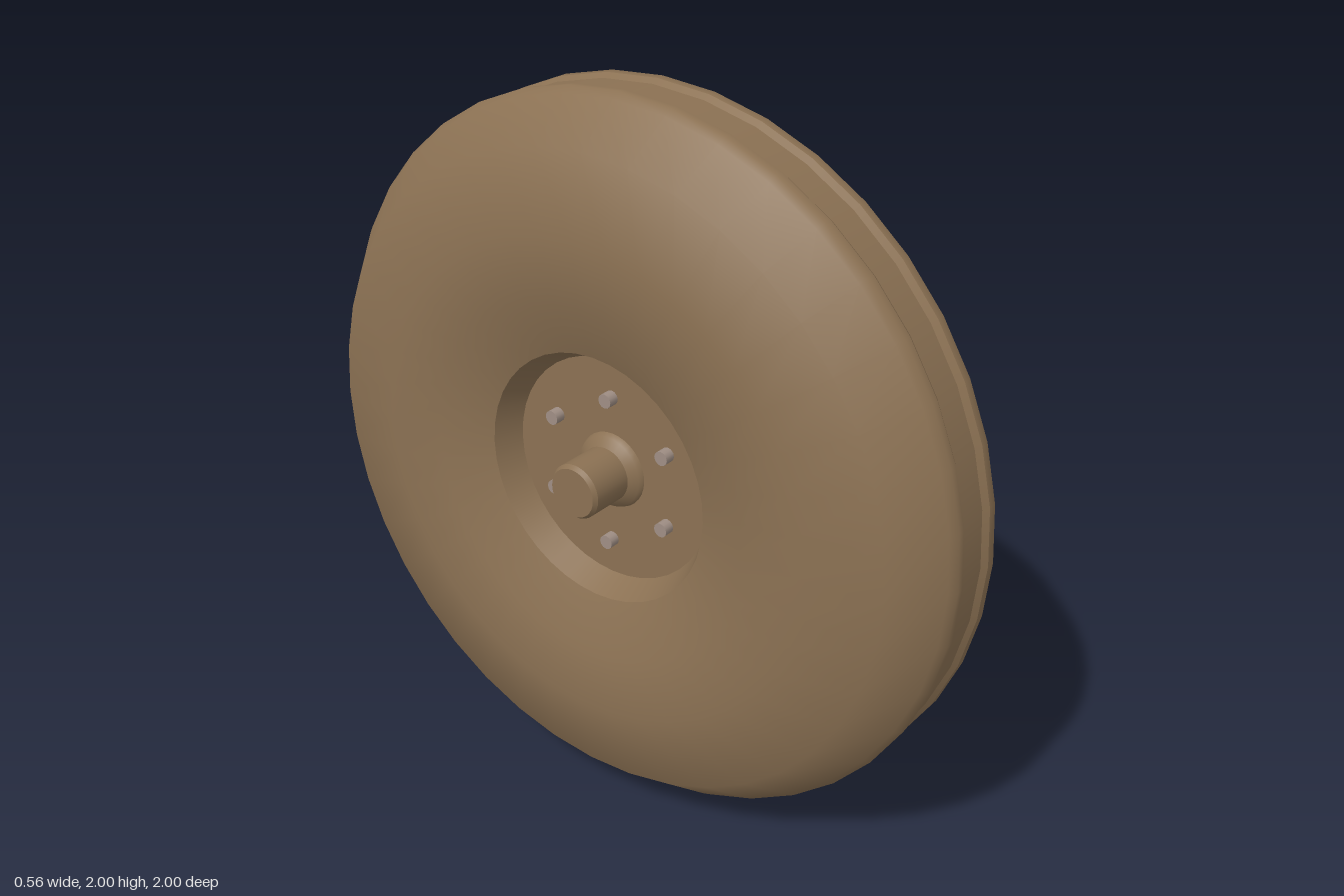
import * as THREE from 'three';

const SEGMENTS = 40;

export function createModel() {
  const rubber = new THREE.MeshStandardMaterial({ color: 0x8b7153 });
  rubber.name = 'brown rubber';
  const metal = new THREE.MeshStandardMaterial({ color: 0x9f8e84 });
  metal.name = 'pale metal';

  const model = new THREE.Group();
  model.name = 'wheel';

  // Everything turns about the wheel's axis: local y becomes world x
  const wheel = new THREE.Group();
  wheel.name = 'wheelAssembly';
  wheel.rotation.z = -Math.PI / 2;
  wheel.position.y = 1;
  model.add(wheel);

  // Profile points are [radius, distance along the axis]
  const turn = (name, points, material, segments = SEGMENTS) => {
    const profile = points.map(([r, a]) => new THREE.Vector2(r, a));
    const mesh = new THREE.Mesh(new THREE.LatheGeometry(profile, segments), material);
    mesh.name = name;
    wheel.add(mesh);
  };

  // Mirrors a profile to the other side, reversed so that it still faces outward
  const sided = (points, side) =>
    side > 0 ? points : points.map(([r, a]) => [r, -a]).reverse();

  // Centre groove of the tread
  turn('treadGroove', [[0.988, -0.045], [0.988, 0.045]], rubber);

  for (const side of [1, -1]) {
    const label = side > 0 ? 'left' : 'right';
    const rimMaterial = side > 0 ? metal : rubber;

    // Tread shoulder and dished sidewall
    turn(label + 'GrooveWall', sided([[0.988, 0.045], [0.999, 0.062]], side), rubber);
    turn(label + 'TyreHalf', sided([
      [0.999, 0.062], [1, 0.085], [0.985, 0.105], [0.885, 0.225],
      [0.67, 0.265], [0.5, 0.248], [0.35, 0.195],
    ], side), rubber);

    // Recessed hub
    turn(label + 'RimWall', sided([[0.35, 0.195], [0.315, 0.12]], side), rimMaterial);
    turn(label + 'HubDisc', sided([[0.315, 0.12], [0, 0.12]], side), rimMaterial);
    turn(label + 'Collar', sided([[0.107, 0.118], [0.1, 0.135], [0.074, 0.152]].reverse(), -1)
      .map(([r, a]) => [r, -a * side]).sort((p, q) => p[1] - q[1]), rimMaterial, 32);

    // Axle stub with a bevelled end
    turn(label + 'Axle', sided([[0.076, 0.115], [0.076, 0.27]], side), rubber, 32);
    turn(label + 'AxleBevel', sided([[0.076, 0.27], [0.068, 0.282]], side), rubber, 32);
    turn(label + 'AxleEnd', sided([[0.068, 0.282], [0, 0.282]], side), rubber, 32);
  }

  // Ring of six bolts on the right side
  const boltGeometry = new THREE.CylinderGeometry(0.02, 0.02, 0.04, 12);
  for (let i = 0; i < 6; i++) {
    const angle = (i * Math.PI) / 3;
    const bolt = new THREE.Mesh(boltGeometry, metal);
    bolt.name = 'bolt' + (i + 1);
    bolt.position.set(0.21 * Math.cos(angle), -0.13, 0.21 * Math.sin(angle));
    wheel.add(bolt);
  }

  return model;
}
